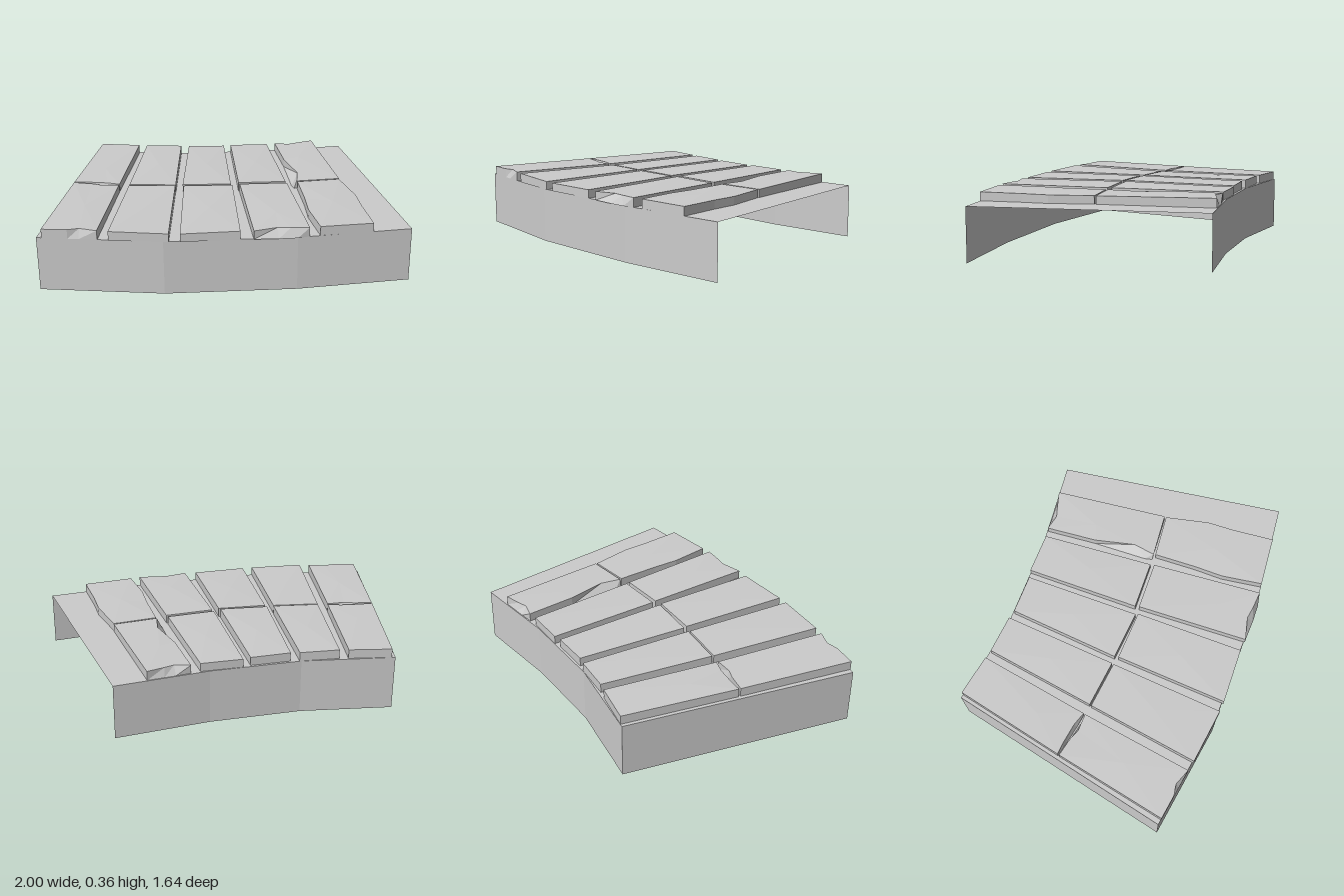
import * as THREE from 'three';

const DECK = 0.31, TOP = 0.36;
const material = new THREE.MeshStandardMaterial({ color: 0xcccccc, flatShading: true, side: THREE.DoubleSide });

function meshFrom(triangles, name) {
  const geometry = new THREE.BufferGeometry();
  geometry.setAttribute('position', new THREE.Float32BufferAttribute(triangles.flat(), 3));
  geometry.computeVertexNormals();
  const mesh = new THREE.Mesh(geometry, material);
  mesh.name = name;
  return mesh;
}

// Thin curved shell: top and three walls, open below and at the +x end
function createBase() {
  const back = [[-1, -0.5], [-0.48, -0.54], [0.02, -0.655], [0.525, -0.825]];
  const front = [[-0.98, 0.82], [-0.3, 0.77], [0.4, 0.61], [1, 0.41]];
  const at = ([x, z], y) => [x, y, z];
  const top = [], walls = [];
  const wall = (a, b) => walls.push(
    at(a, 0), at(b, 0), at(b, DECK), at(a, 0), at(b, DECK), at(a, DECK));
  for (let i = 0; i < 3; i++) {
    const [a, b, c, d] = [back[i], front[i], front[i + 1], back[i + 1]].map(p => at(p, DECK));
    top.push(a, b, c, a, c, d);
    wall(front[i], front[i + 1]);
    wall(back[i + 1], back[i]);
  }
  wall(back[0], front[0]);
  const base = new THREE.Group();
  base.name = 'base';
  base.add(meshFrom(top, 'deck'), meshFrom(walls, 'skirtWalls'));
  return base;
}

// Plank from a clockwise outline of [x, z]; chipped points add the inset top [x, z]
function createPlank(outline, name) {
  const height = (x, z) => TOP + 0.004 * Math.sin(5 * x + 2) * Math.cos(4 * z);
  const low = outline.map(([x, z]) => [x, DECK, z]);
  const high = outline.map(([x, z, tx = x, tz = z]) => [tx, height(tx, tz), tz]);
  const n = outline.length;
  const centre = [0, 1, 2].map(k => high.reduce((sum, p) => sum + p[k], 0) / n);
  centre[1] += 0.003;
  const under = [centre[0], DECK, centre[2]];
  const triangles = [];
  for (let i = 0; i < n; i++) {
    const j = (i + 1) % n;
    triangles.push(centre, high[j], high[i], under, low[i], low[j]);
    triangles.push(low[i], high[i], low[j], low[j], high[i], high[j]);
  }
  return meshFrom(triangles, name);
}

// Five columns of boards, each split into a back and a front plank
const backPlanks = [
  [[-0.98, -0.5], [-0.74, -0.51], [-0.7, 0.14], [-0.78, 0.145, -0.78, 0.132], [-0.92, 0.15, -0.9, 0.14], [-0.97, 0.15]],
  [[-0.69, -0.51], [-0.47, -0.54], [-0.37, 0.11], [-0.64, 0.14]],
  [[-0.42, -0.54], [-0.2, -0.59], [-0.05, 0.06], [-0.33, 0.1]],
  [[-0.16, -0.61], [0.07, -0.66], [0.26, -0.04], [-0.01, 0.03]],
  [[0.12, -0.68], [0.2, -0.71, 0.21, -0.68], [0.26, -0.73, 0.26, -0.71], [0.35, -0.76], [0.57, -0.14],
    [0.31, -0.06, 0.325, -0.06], [0.29, -0.1, 0.32, -0.18], [0.21, -0.4]],
];
const frontPlanks = [
  [[-0.97, 0.16], [-0.86, 0.16], [-0.8, 0.155, -0.8, 0.17], [-0.7, 0.15], [-0.65, 0.8],
    [-0.75, 0.805, -0.75, 0.785], [-0.81, 0.81], [-0.95, 0.82]],
  [[-0.64, 0.15], [-0.37, 0.12], [-0.27, 0.77], [-0.59, 0.8]],
  [[-0.32, 0.12], [-0.04, 0.07], [0.1, 0.68], [-0.21, 0.76]],
  [[0, 0.05], [0.27, -0.02], [0.46, 0.59], [0.4, 0.62, 0.36, 0.605], [0.3, 0.645, 0.29, 0.61], [0.17, 0.67]],
  [[0.33, -0.05], [0.57, -0.13], [0.68, 0.1], [0.72, 0.25], [0.795, 0.48], [0.515, 0.57], [0.43, 0.35], [0.395, 0.19]],
];

export function createModel() {
  const model = new THREE.Group();
  model.name = 'curvedPlankWalkway';
  model.add(createBase());
  backPlanks.forEach((outline, i) => model.add(createPlank(outline, `backPlank${i + 1}`)));
  frontPlanks.forEach((outline, i) => model.add(createPlank(outline, `frontPlank${i + 1}`)));
  return model;
}
